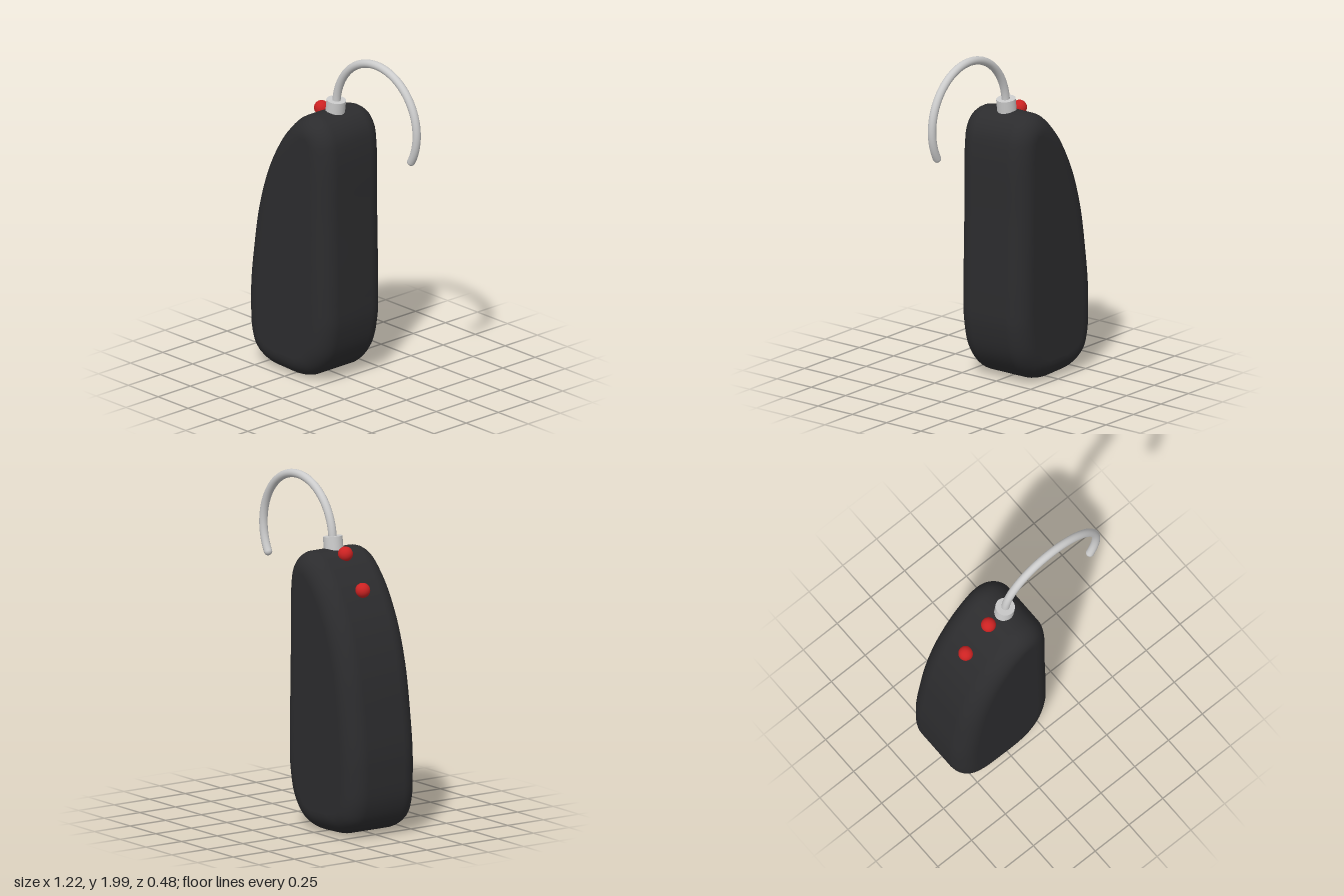
import * as THREE from 'three';
import { mergeVertices } from 'three/addons/utils/BufferGeometryUtils.js';

const shellMaterial = new THREE.MeshStandardMaterial({ color: 0x2c2c2e });
const buttonMaterial = new THREE.MeshStandardMaterial({ color: 0xcc2222 });
const hookMaterial = new THREE.MeshStandardMaterial({ color: 0xcccccc });

function addMesh(parent, name, geometry, material, x = 0, y = 0, z = 0) {
  const mesh = new THREE.Mesh(geometry, material);
  mesh.name = name;
  mesh.position.set(x, y, z);
  parent.add(mesh);
  return mesh;
}

// Side profile of the housing, extruded with a wide rounded edge
function housingGeometry() {
  const profile = [
    [-0.61, 0.39], [-0.6, 0.2], [-0.555, 0.09], [-0.45, 0.025], [-0.31, 0.01],
    [-0.17, 0.012], [-0.07, 0.05], [0.025, 0.165], [0.07, 0.34], [0.075, 0.5],
    [0.067, 1.0], [0.061, 1.4], [0.04, 1.51], [-0.02, 1.585], [-0.11, 1.61],
    [-0.2, 1.58], [-0.31, 1.475], [-0.375, 1.385], [-0.465, 1.21],
    [-0.54, 0.97], [-0.585, 0.7], [-0.607, 0.51],
  ].map(([x, y]) => new THREE.Vector3(x, y, 0));
  const outline = new THREE.CatmullRomCurve3(profile, true).getSpacedPoints(110);
  outline.pop();
  const shape = new THREE.Shape(outline.map((p) => new THREE.Vector2(p.x, p.y)));

  const halfWidth = 0.24, bevel = 0.115;
  const geometry = new THREE.ExtrudeGeometry(shape, {
    depth: 2 * (halfWidth - bevel),
    bevelThickness: bevel,
    bevelSize: bevel,
    bevelOffset: -bevel,
    bevelSegments: 10,
  });
  geometry.translate(0, 0, bevel - halfWidth);

  // Weld the corners so the whole shell shades smoothly
  geometry.deleteAttribute('uv');
  geometry.deleteAttribute('normal');
  const welded = mergeVertices(geometry, 1e-4);
  welded.computeVertexNormals();
  return welded;
}

// Circular ear hook, given as an arc from the collar to the free tip
class HookCurve extends THREE.Curve {
  getPoint(t, target = new THREE.Vector3()) {
    const angle = THREE.MathUtils.degToRad(182 - t * 212);
    return target.set(0.25 + 0.336 * Math.cos(angle), 1.64 + 0.336 * Math.sin(angle), 0);
  }
}

export function createModel() {
  const model = new THREE.Group();
  model.name = 'hearingAid';

  addMesh(model, 'housing', housingGeometry(), shellMaterial);

  // Control buttons half sunk in the sloping back
  [[-0.21, 1.592], [-0.378, 1.41]].forEach(([x, y], i) => {
    addMesh(model, `button${i + 1}`, new THREE.SphereGeometry(0.043, 32, 20), buttonMaterial, x, y);
  });

  // Collar, hook tube and its rounded tip
  const collar = addMesh(model, 'hookCollar',
    new THREE.CylinderGeometry(0.056, 0.056, 0.11, 40), hookMaterial, -0.093, 1.62);
  collar.rotation.z = -0.13;

  const curve = new HookCurve();
  addMesh(model, 'earHook', new THREE.TubeGeometry(curve, 96, 0.024, 20), hookMaterial);
  const tip = curve.getPoint(1);
  addMesh(model, 'hookTip', new THREE.SphereGeometry(0.024, 20, 14), hookMaterial, tip.x, tip.y);

  return model;
}
